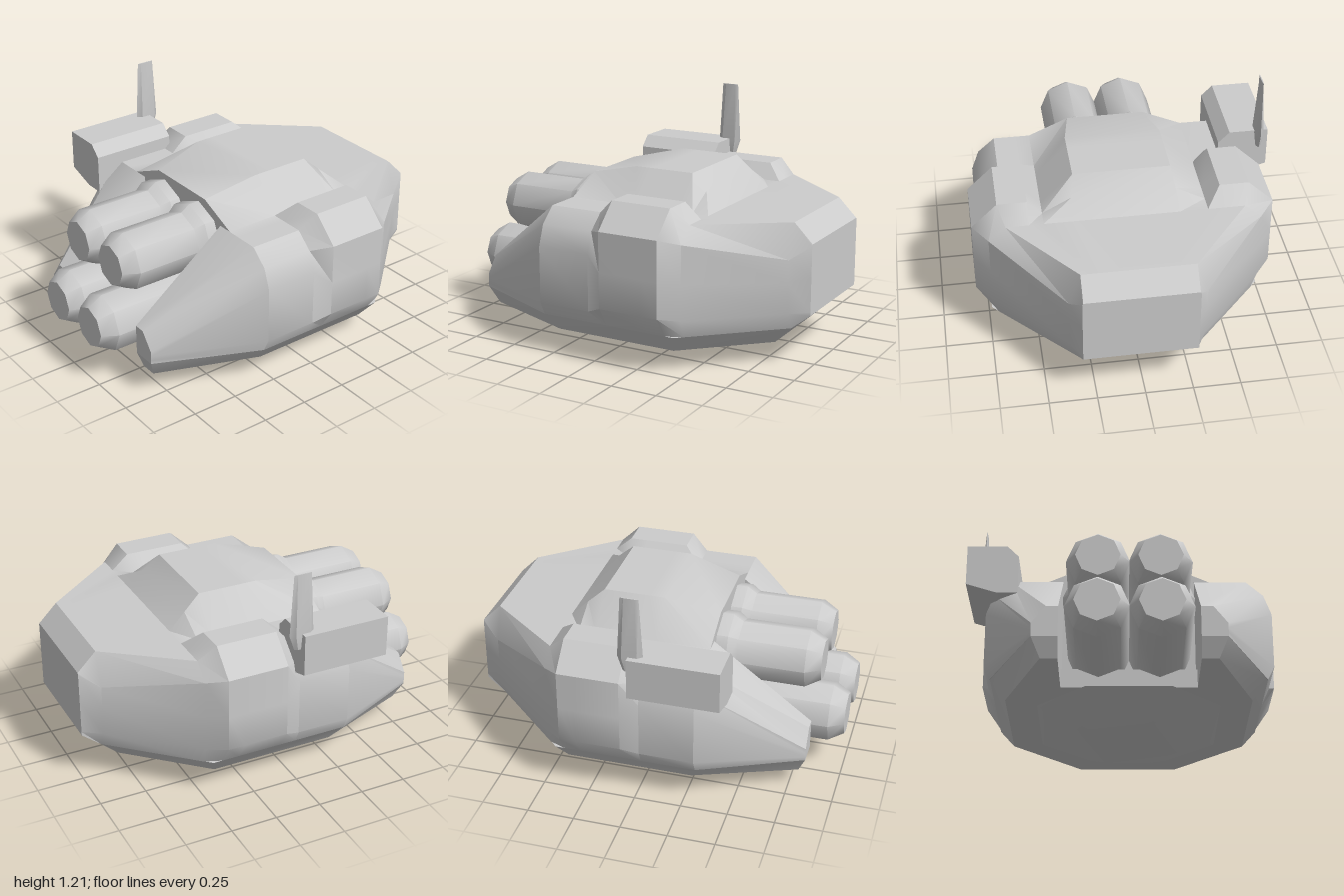
import * as THREE from 'three';
import { toCreasedNormals } from 'three/addons/utils/BufferGeometryUtils.js';

const MID = 0.025; // centre line of the hull
const material = new THREE.MeshStandardMaterial({ color: 0xcccccc });

// Closed skin through rings [w, [[a, b], ...]] in rising w.
// axis 'z': (a, b) = (x, y); axis 'y': (a, b) = (x, z).
function skin(rings, axis, crease = 0.6) {
  const alongZ = axis === 'z';
  const loops = rings.map(([, pts]) => pts.map(([a, b]) => (alongZ ? new THREE.Vector2(a, b) : new THREE.Vector2(b, a))));
  if (THREE.ShapeUtils.area(loops[0]) < 0) loops.forEach((l) => l.reverse());
  const n = loops[0].length;
  const positions = [];
  const index = [];
  loops.forEach((loop, r) => loop.forEach((p) => {
    if (alongZ) positions.push(p.x, p.y, rings[r][0]);
    else positions.push(p.y, rings[r][0], p.x);
  }));
  for (let r = 0; r < loops.length - 1; r++) {
    for (let i = 0; i < n; i++) {
      const a = r * n + i, b = r * n + (i + 1) % n;
      index.push(a, b, b + n, a, b + n, a + n);
    }
  }
  const last = (loops.length - 1) * n;
  for (const [a, b, c] of THREE.ShapeUtils.triangulateShape(loops[0], [])) index.push(a, c, b);
  for (const [a, b, c] of THREE.ShapeUtils.triangulateShape(loops[loops.length - 1], [])) index.push(last + a, last + b, last + c);
  const geometry = new THREE.BufferGeometry();
  geometry.setAttribute('position', new THREE.Float32BufferAttribute(positions, 3));
  geometry.setIndex(index);
  return toCreasedNormals(geometry, crease);
}

// Half outline on +x joined with its mirror image
const mirrored = (half) => [...half, ...half.map(([x, v]) => [-x, v]).reverse()];

function add(parent, name, geometry, x = 0, y = 0, z = 0) {
  const mesh = new THREE.Mesh(geometry, material);
  mesh.name = name;
  mesh.position.set(x, y, z);
  parent.add(mesh);
  return mesh;
}

export function createModel() {
  const model = new THREE.Group();
  model.name = 'turret';
  const hull = new THREE.Group();
  hull.name = 'hull';
  hull.position.x = MID;
  model.add(hull);

  // Shallow belly under the pan
  add(hull, 'belly', skin([
    [0, mirrored([[0.12, 0.2], [0.245, 0.08], [0.245, -0.25], [0.12, -0.4]])],
    [0.1, mirrored([[0.22, 0.46], [0.475, 0.2], [0.475, -0.38], [0.22, -0.64]])],
  ], 'y'));

  // Lower pan, notched at the front
  add(hull, 'lowerPan', skin([
    [0.1, mirrored([[0.345, 0.44], [0.345, 0.8], [0.43, 0.8], [0.635, 0.27], [0.635, -0.41], [0.27, -0.8]])],
    [0.2, mirrored([[0.345, 0.44], [0.345, 0.84], [0.475, 0.84], [0.715, 0.3], [0.715, -0.45], [0.3, -0.9]])],
  ], 'y'));

  // Main body: from lower edge, up the side, over the shoulder to the roof
  const bulge = [[0.715, 0.2], [0.79, 0.31], [0.79, 0.5], [0.79, 0.71], [0.655, 0.84], [0.5, 0.84], [0.425, 0.76]];
  const flank = [[0.715, 0.2], [0.75, 0.27], [0.75, 0.57], [0.71, 0.68], [0.62, 0.76], [0.5, 0.76], [0.425, 0.76]];
  add(hull, 'body', skin([
    [-1, [[0.295, 0.28], [0.295, 0.3], [0.295, 0.48], [0.295, 0.64], [0.29, 0.65], [0.25, 0.65], [0.2, 0.65], [0.12, 0.65]]],
    [-0.9, [[0.3, 0.2], [0.345, 0.29], [0.35, 0.45], [0.35, 0.57], [0.29, 0.75], [0.25, 0.75], [0.2, 0.75], [0.12, 0.75]]],
    [-0.49, [[0.68, 0.2], [0.71, 0.29], [0.71, 0.48], [0.71, 0.68], [0.62, 0.76], [0.5, 0.76], [0.425, 0.76], [0.28, 0.76]]],
    [-0.4, [...bulge, [0.27, 0.845]]],
    [-0.31, [...bulge, [0.255, 0.925]]],
    [-0.07, [...bulge, [0.255, 0.925]]],
    [0.02, [...flank, [0.255, 0.925]]],
    [0.31, [...flank, [0.21, 0.855]]],
  ].map(([z, half]) => [z, mirrored(half)]), 'z'));

  // Two sloping prongs either side of the launcher bay
  for (const side of [1, -1]) {
    const flip = (pts) => pts.map(([x, y]) => [side * x, y]);
    add(hull, side > 0 ? 'leftProng' : 'rightProng', skin([
      [0.31, flip([[0.345, 0.2], ...flank.slice(0, 5), [0.345, 0.76]])],
      [0.84, flip([[0.345, 0.2], [0.475, 0.2], [0.475, 0.22], [0.475, 0.245], [0.475, 0.27], [0.405, 0.36], [0.345, 0.36]])],
    ], 'z'));
  }

  // Four eight-sided launch tubes with chamfered noses; the upper pair has collars
  const tube = (profile) => {
    const points = profile.map(([r, z]) => new THREE.Vector2(r, z));
    const geometry = new THREE.LatheGeometry(points, 8).rotateX(Math.PI / 2);
    geometry.deleteAttribute('uv');
    return toCreasedNormals(geometry, 0.81);
  };
  const upper = tube([[0, 0.2], [0.193, 0.2], [0.193, 0.37], [0.16, 0.42], [0.16, 0.78], [0.112, 0.86], [0, 0.86]]);
  const lower = tube([[0, 0.3], [0.16, 0.3], [0.16, 0.92], [0.112, 1], [0, 1]]);
  for (const x of [-0.155, 0.155]) {
    add(hull, 'upperTube', upper, x, 0.63);
    add(hull, 'lowerTube', lower, x, 0.317);
  }

  // Sensor housing on the right shoulder
  const housing = [[-0.82, 0.89], [-0.61, 0.89], [-0.55, 0.83], [-0.55, 0.62], [-0.66, 0.62], [-0.82, 0.67]];
  add(model, 'sensorHousing', skin([[-0.01, housing], [0.465, housing]], 'z'));

  // Thin blade aerial, narrowing to an edge
  const blade = (w, d) => [[0, d], [w, d * 0.6], [w, -d * 0.6], [0, -d], [-w, -d * 0.6], [-w, d * 0.6]];
  add(model, 'aerial', skin([
    [0.8, blade(0.012, 0.04)],
    [0.88, blade(0.022, 0.067)],
    [1.21, blade(0.003, 0.048)],
  ], 'y'), -0.768, 0, -0.003);

  return model;
}
